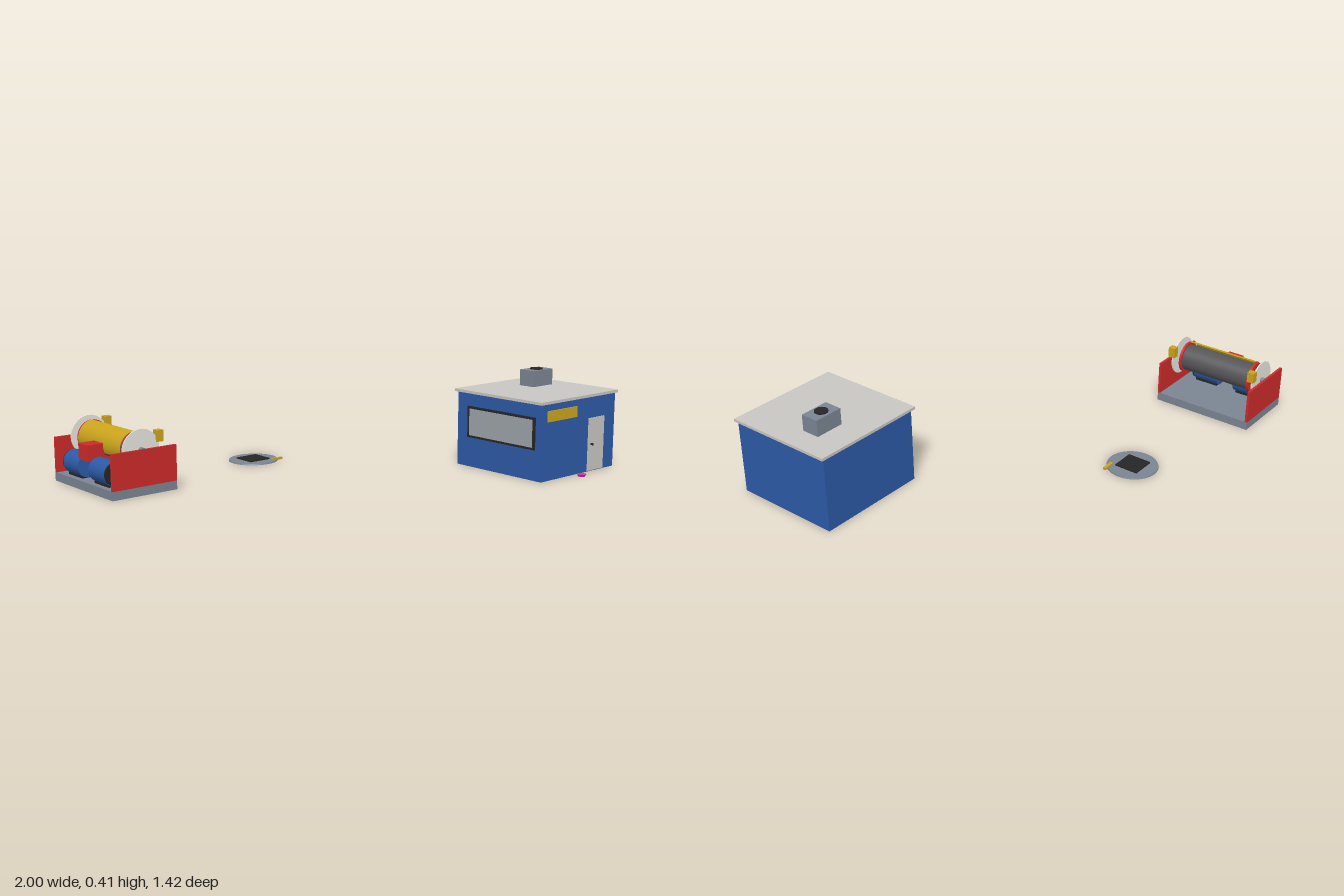
import * as THREE from 'three';

const mat = (name, color, side = THREE.FrontSide) => {
  const m = new THREE.MeshStandardMaterial({ color, side });
  m.name = name;
  return m;
};

export function createModel() {
  const blue = mat('blue paint', 0x2d5aa6);
  const red = mat('red paint', 0xcc2b2b);
  const steel = mat('steel grey', 0x7a8592);
  const pale = mat('pale concrete', 0xc8c6c2);
  const yellow = mat('yellow paint', 0xcba41c, THREE.DoubleSide);
  const black = mat('black', 0x262626);
  const iron = mat('dark iron', 0x56565a);
  const white = mat('off white', 0xe6e5de);
  const pink = mat('magenta', 0xd633a8);
  const glass = mat('glass', 0x9ca3a9);

  const model = new THREE.Group();
  const group = (name) => {
    const g = new THREE.Group();
    g.name = name;
    model.add(g);
    return g;
  };
  const add = (parent, name, geo, material) => {
    const m = new THREE.Mesh(geo, material);
    m.name = name;
    parent.add(m);
    return m;
  };
  // box given by its limits on each axis
  const box = (parent, name, material, x0, x1, y0, y1, z0, z1) =>
    add(parent, name, new THREE.BoxGeometry(x1 - x0, y1 - y0, z1 - z0), material)
      .position.set((x0 + x1) / 2, (y0 + y1) / 2, (z0 + z1) / 2);
  // cylinder lying along z
  const rod = (parent, name, material, r, x, y, z0, z1, sides = 32) => {
    const geo = new THREE.CylinderGeometry(r, r, z1 - z0, sides).rotateX(Math.PI / 2);
    add(parent, name, geo, material).position.set(x, y, (z0 + z1) / 2);
  };
  // upright cylinder
  const disc = (parent, name, material, rTop, rBottom, y0, y1, x, z, sides = 32) =>
    add(parent, name, new THREE.CylinderGeometry(rTop, rBottom, y1 - y0, sides), material)
      .position.set(x, (y0 + y1) / 2, z);

  // Control house
  const house = group('house');
  box(house, 'walls', blue, 0.5, 0.985, 0, 0.327, 0.172, 0.65);
  box(house, 'roof', pale, 0.488, 1, 0.327, 0.339, 0.16, 0.655);
  box(house, 'door', pale, 0.805, 0.912, 0.003, 0.235, 0.649, 0.653);
  rod(house, 'doorKnob', black, 0.005, 0.825, 0.12, 0.652, 0.664, 12);
  box(house, 'signBoard', yellow, 0.532, 0.72, 0.252, 0.298, 0.648, 0.656);
  box(house, 'windowFrame', black, 0.493, 0.502, 0.132, 0.27, 0.235, 0.615);
  box(house, 'windowPane', glass, 0.491, 0.496, 0.142, 0.26, 0.247, 0.603);
  box(house, 'roofUnit', steel, 0.77, 0.897, 0.339, 0.41, 0.29, 0.37);
  disc(house, 'roofFan', black, 0.028, 0.028, 0.408, 0.415, 0.833, 0.33, 16);

  // Winch: bed, side plates, cable drum
  const winch = group('winch');
  const ax = -0.85, ay = 0.18, mid = -0.4825;
  box(winch, 'bed', steel, -1, -0.7, 0, 0.037, -0.714, -0.252);
  rod(winch, 'shaft', steel, 0.012, ax, ay, -0.705, -0.26, 20);
  rod(winch, 'drum', iron, 0.06, ax, ay, -0.652, -0.313, 40);

  // curved guard over the rear top of the drum
  const guard = new THREE.CylinderGeometry(0.073, 0.073, 0.332, 24, 1, true, 0, 1.95);
  guard.rotateX(Math.PI / 2).rotateZ(Math.PI / 2 + 1.64);
  add(winch, 'drumGuard', guard, yellow).position.set(ax, ay, mid);

  // parts repeated at both ends
  for (const s of [-1, 1]) {
    const span = (a, b) => [mid + s * a, mid + s * b].sort((p, q) => p - q);
    box(winch, 'sidePlate', red, -1, -0.7, 0.037, 0.187, ...span(0.22, 0.2315));
    rod(winch, 'flange', red, 0.07, ax, ay, ...span(0.167, 0.178), 40);
    rod(winch, 'brakeDisc', white, 0.086, ax, ay, ...span(0.2, 0.206), 40);
    box(winch, 'brakeCaliper', yellow, -0.78, -0.75, 0.205, 0.252, ...span(0.186, 0.217));
    rod(winch, 'motor', blue, 0.05, -0.948, 0.09, ...span(0.042, 0.163), 32);
    rod(winch, 'motorCap', black, 0.048, -0.948, 0.09, ...span(0.163, 0.17), 32);
    box(winch, 'motorFoot', black, -0.975, -0.92, 0.036, 0.05, ...span(0.05, 0.16));
  }
  box(winch, 'gearbox', red, -0.995, -0.918, 0.125, 0.191, mid - 0.036, mid + 0.036);

  // Round ground plate with a square hatch and a lever
  const plate = group('groundPlate');
  disc(plate, 'plate', steel, 0.108, 0.11, 0, 0.006, -0.14, -0.483, 40);
  box(plate, 'hatch', black, -0.194, -0.088, 0.005, 0.011, -0.536, -0.43);
  box(plate, 'lever', yellow, -0.092, -0.035, 0.003, 0.012, -0.417, -0.404);

  // Small marker by the door
  disc(group('marker'), 'markerCap', pink, 0.02, 0.014, 0, 0.01, 0.72, 0.69, 24);

  return model;
}
